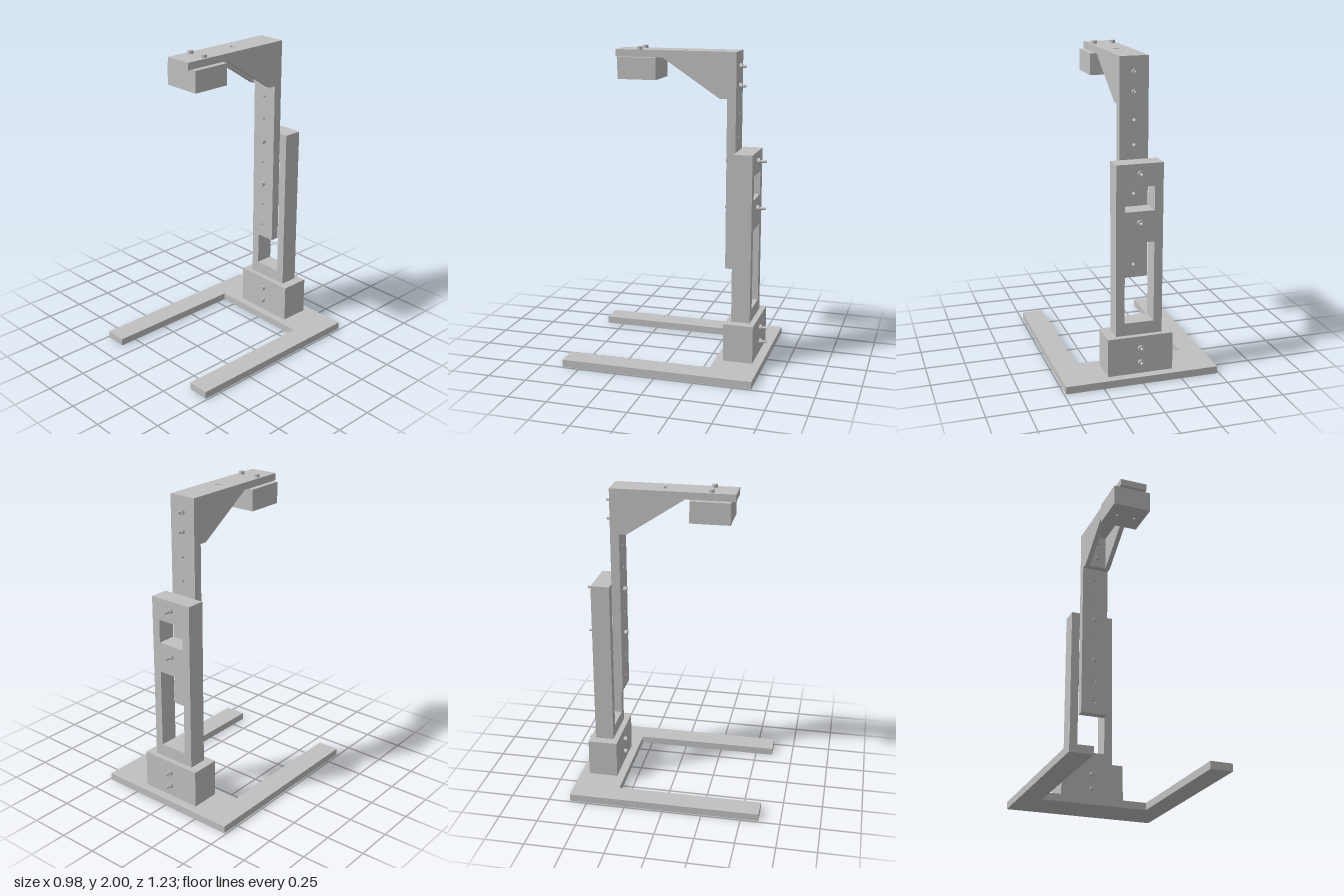
import * as THREE from 'three';

export function createModel() {
  const model = new THREE.Group();
  const grey = new THREE.MeshStandardMaterial({ color: 0xc0c0c0 });
  grey.name = 'grey';

  const add = (name, geometry, x = 0, y = 0, z = 0, parent = model) => {
    const mesh = new THREE.Mesh(geometry, grey);
    mesh.name = name;
    mesh.position.set(x, y, z);
    parent.add(mesh);
    return mesh;
  };
  const polygon = (pts) => new THREE.Shape(pts.map(([x, y]) => new THREE.Vector2(x, y)));
  const rect = (x0, y0, x1, y1) => polygon([[x0, y0], [x1, y0], [x1, y1], [x0, y1]]);
  const circle = (x, y, r) => new THREE.Path().absarc(x, y, r, 0, Math.PI * 2);
  const extrude = (shape, depth, holes = []) => {
    shape.holes.push(...holes);
    return new THREE.ExtrudeGeometry(shape, { depth, bevelEnabled: false, curveSegments: 8 });
  };
  // Plate drawn in x and z, lying below its top height
  const flat = (shape, depth, holes) => extrude(shape, depth, holes).rotateX(Math.PI / 2);

  // U-shaped base
  add('base', flat(polygon([
    [-0.488, -0.613], [0.488, -0.613], [0.488, 0.613], [0.347, 0.613],
    [0.347, -0.316], [-0.347, -0.316], [-0.347, 0.613], [-0.488, 0.613],
  ]), 0.047), 0, 0.047, 0);

  // Block that clamps the foot of the post
  add('footBlock', new THREE.BoxGeometry(0.416, 0.243, 0.19), 0, 0.1685, -0.462);

  // Post with two windows
  add('post', extrude(rect(-0.147, 0.28, 0.147, 1.365), 0.12, [
    rect(-0.093, 0.37, 0.093, 0.88),
    rect(-0.093, 1.075, 0.093, 1.225),
  ]), 0, 0, -0.523);

  // Sliding arm with a row of adjustment holes
  const armHoles = [0.705, 0.855, 1.155, 1.455, 1.605].map((y) => circle(0, y, 0.0095));
  add('slidingArm', extrude(rect(-0.09, 0.62, 0.09, 1.936), 0.056, armHoles), 0, 0, -0.402);

  // Overhanging bracket: slotted top plate, inner wall and two side gussets
  add('topPlate', flat(rect(-0.09, -0.402, 0.09, 0.372), 0.045,
    [rect(-0.025, -0.08, 0.025, -0.06)]), 0, 1.981, 0);
  add('bracketWall', new THREE.BoxGeometry(0.118, 0.241, 0.045), 0, 1.8155, -0.3235);
  for (const side of [-1, 1]) {
    const gusset = extrude(polygon([
      [-0.346, 1.695], [-0.3, 1.695], [0.065, 1.936], [-0.346, 1.936],
    ]), 0.032).rotateY(-Math.PI / 2);
    add(side > 0 ? 'leftGusset' : 'rightGusset', gusset, side > 0 ? 0.09 : -0.058);
  }

  // Head block with two screw holes underneath
  add('headBlock', flat(rect(-0.125, 0.098, 0.125, 0.348), 0.136,
    [-0.06, 0.06].map((x) => circle(x, 0.222, 0.009))), 0, 1.936, 0);
  for (const x of [-0.06, 0.06]) {
    add('headScrew', new THREE.CylinderGeometry(0.017, 0.017, 0.02, 24), x, 1.99, 0.222);
    add('headScrewShaft', new THREE.CylinderGeometry(0.009, 0.009, 0.09, 16), x, 1.89, 0.222);
  }

  // Through bolt along z: round head in front, hex nut and shaft end behind
  const rod = (r, length, sides) =>
    new THREE.CylinderGeometry(r, r, length, sides).rotateX(Math.PI / 2);
  const bolt = (y, front, back, end) => {
    const group = new THREE.Group();
    group.name = 'bolt';
    add('boltHead', rod(0.016, 0.022, 24), 0, y, front + 0.011, group);
    add('boltShaft', rod(0.0085, front - end, 16), 0, y, (front + end) / 2, group);
    add('nut', rod(0.019, 0.018, 6), 0, y, back - 0.009, group);
    model.add(group);
  };
  for (const y of [0.12, 0.215]) bolt(y, -0.367, -0.557, -0.603);
  for (const y of [1.005, 1.305]) bolt(y, -0.346, -0.523, -0.58);
  for (const y of [1.768, 1.887]) bolt(y, -0.301, -0.402, -0.442);

  return model;
}
